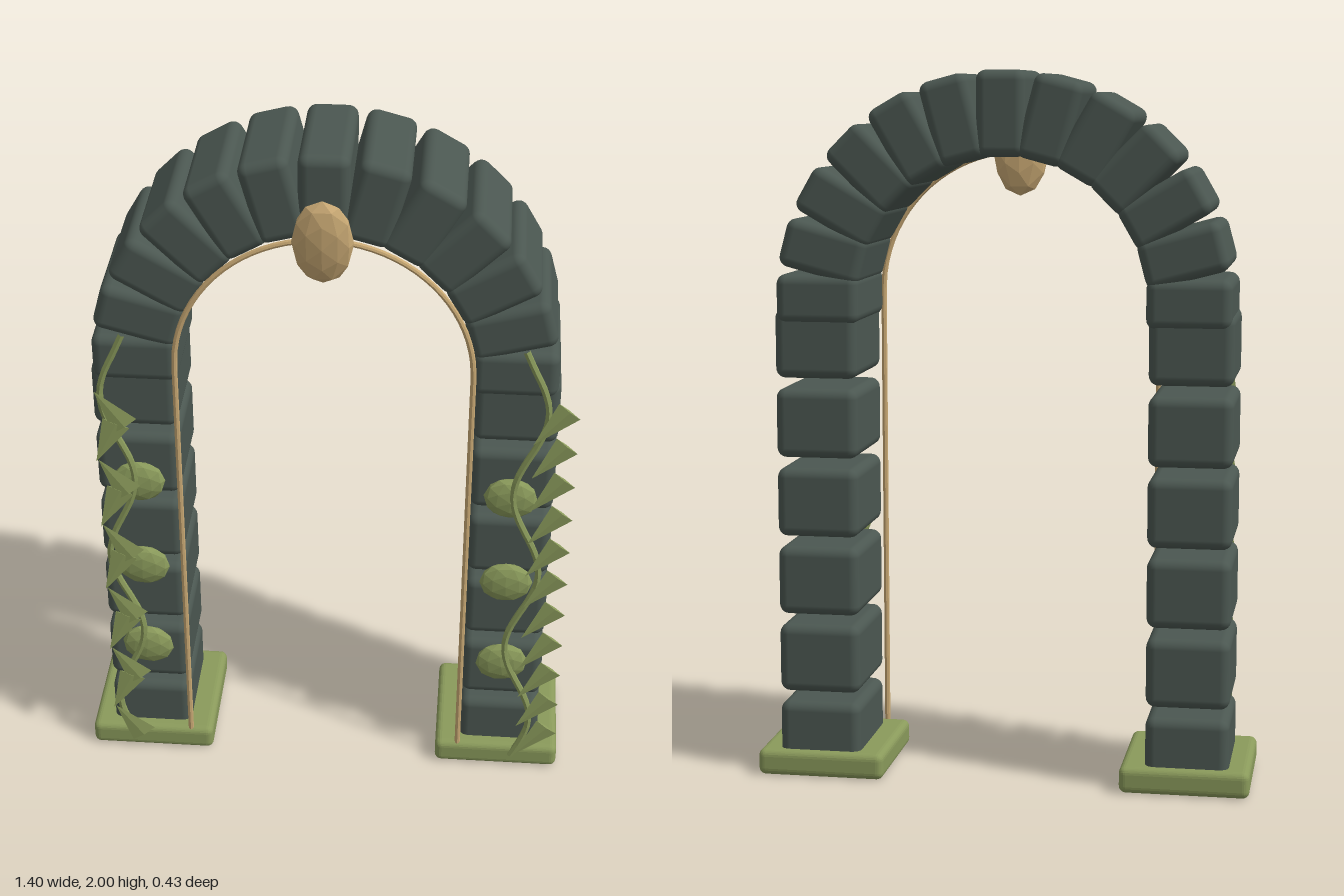
import * as THREE from 'three';
import { RoundedBoxGeometry } from 'three/addons/geometries/RoundedBoxGeometry.js';

export function createModel() {
  const model = new THREE.Group();
  const material = (name, color, flatShading = false) => {
    const m = new THREE.MeshStandardMaterial({ color, flatShading });
    m.name = name;
    return m;
  };
  const stone = material('slate stone', 0x4b5751);
  const green = material('moss green', 0x8a9a5b, true);
  const gold = material('pale gold', 0xc9a974, true);

  const add = (name, geometry, mat, x, y, z, parent = model) => {
    const mesh = new THREE.Mesh(geometry, mat);
    mesh.name = name;
    mesh.position.set(x, y, z);
    parent.add(mesh);
    return mesh;
  };

  const springY = 1.37; // centre height of the arch
  const stoneZ = -0.03;

  // Wedge stones of the arch, one every 15 degrees
  const archGeo = new RoundedBoxGeometry(0.235, 0.138, 0.34, 3, 0.028);
  for (let i = 0; i <= 12; i++) {
    const a = (i / 12) * Math.PI;
    const s = add('archStone', archGeo, stone, Math.cos(a) * 0.5175, springY + Math.sin(a) * 0.5125, stoneZ);
    s.rotation.z = a;
  }

  const blockGeo = new RoundedBoxGeometry(0.235, 0.197, 0.32, 3, 0.028);
  const plinthGeo = new RoundedBoxGeometry(0.365, 0.075, 0.385, 3, 0.02);
  const budGeo = new THREE.IcosahedronGeometry(1, 1);
  const leafGeo = new THREE.ConeGeometry(0.04, 0.14, 4).scale(1, 1, 0.15);

  // Winding centre line of the vine
  const vineX = y => 0.57 - 0.042 * Math.cos((y - 1.0) * Math.PI * 2 / 0.54);

  for (const side of [-1, 1]) {
    const column = new THREE.Group();
    column.name = side > 0 ? 'leftColumn' : 'rightColumn';
    model.add(column);

    add('plinth', plinthGeo, green, side * 0.52, 0.0375, -0.022, column);
    for (let i = 0; i < 6; i++) {
      add('columnStone', blockGeo, stone, side * 0.525, 0.115 + i * 0.226, stoneZ, column);
    }

    // Vine stem
    const points = [];
    for (let i = 0; i <= 24; i++) {
      const y = 0.04 + i * 1.43 / 24;
      points.push(new THREE.Vector3(side * vineX(y), y, 0.168));
    }
    const stem = new THREE.TubeGeometry(new THREE.CatmullRomCurve3(points), 60, 0.01, 6);
    add('vineStem', stem, green, 0, 0, 0, column);

    // Thin pointed leaves, leaning up and outward
    for (let i = 0; i < 11; i++) {
      const y = 0.08 + i * 0.1125;
      const x = side > 0 ? 0.62 : -0.585 - 0.015 * (i % 2);
      const leaf = add('leaf', leafGeo, green, x, y + 0.035, 0.185, column);
      if (side > 0) leaf.rotation.z = Math.PI - 0.72;
      else leaf.rotation.z = i % 2 ? Math.PI - 0.45 : 0.6;
      leaf.rotation.y = 0.12;
    }

    // Faceted buds
    [0.385, 0.68, 0.975].forEach((y, i) => {
      const bud = add('bud', budGeo, green, side * 0.522, y, 0.147, column);
      bud.scale.set(0.076, 0.066, 0.027);
      bud.rotation.z = side * (0.15 - i * 0.12);
    });
  }

  // Gold trim following the opening
  const trim = new THREE.CurvePath();
  const r = 0.404;
  const arc = [];
  for (let i = 0; i <= 24; i++) {
    const a = (i / 24) * Math.PI;
    arc.push(new THREE.Vector3(Math.cos(a) * r, springY + Math.sin(a) * r, 0.157));
  }
  trim.add(new THREE.LineCurve3(new THREE.Vector3(r, 0.06, 0.157), arc[0]));
  trim.add(new THREE.CatmullRomCurve3(arc));
  trim.add(new THREE.LineCurve3(arc[24], new THREE.Vector3(-r, 0.06, 0.157)));
  add('goldTrim', new THREE.TubeGeometry(trim, 120, 0.008, 8), gold, 0, 0, 0);

  // Keystone gem, tipped slightly forward
  const gem = add('keystoneGem', new THREE.IcosahedronGeometry(1, 1), gold, 0, 1.775, 0.17);
  gem.scale.set(0.082, 0.13, 0.038);
  gem.rotation.x = 0.13;

  return model;
}
